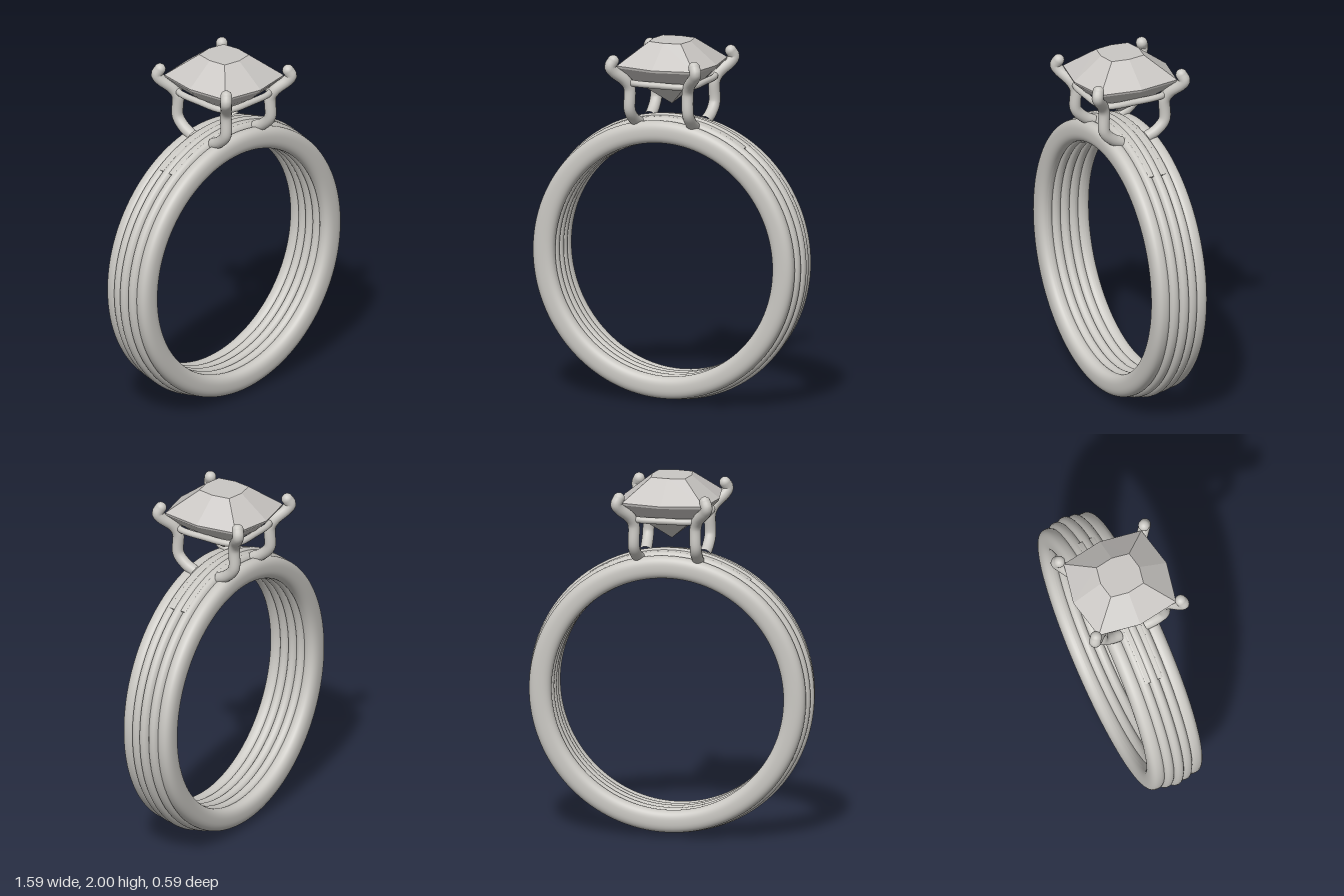
import * as THREE from 'three';

const CENTRE_Y = 0.795;

export function createModel() {
  const model = new THREE.Group();
  model.name = 'gemRing';
  const metal = new THREE.MeshStandardMaterial({ color: 0xcac8c3 });
  metal.name = 'silver metal';
  const crystal = new THREE.MeshStandardMaterial({ color: 0xcac7c4 });
  crystal.name = 'clear stone';

  const add = (parent, name, geometry, material) => {
    const mesh = new THREE.Mesh(geometry, material);
    mesh.name = name;
    parent.add(mesh);
    return mesh;
  };

  // Band: five rounded ridges side by side, each a lathed superellipse
  const band = new THREE.Group();
  band.name = 'band';
  band.position.y = CENTRE_Y;
  model.add(band);
  const ridge = (name, z, halfWidth, inner, outer, power) => {
    const profile = [];
    const bend = (v) => Math.sign(v) * Math.abs(v) ** (2 / power);
    for (let i = 0; i <= 36; i++) {
      const t = Math.PI + (i / 36) * Math.PI * 2;
      profile.push(new THREE.Vector2(
        (inner + outer) / 2 + ((outer - inner) / 2) * bend(Math.cos(t)),
        halfWidth * bend(Math.sin(t))));
    }
    const geometry = new THREE.LatheGeometry(profile, 128);
    geometry.rotateX(Math.PI / 2);
    geometry.translate(0, 0, z);
    add(band, name, geometry, metal);
  };
  ridge('centreRidge', 0, 0.036, 0.645, 0.795, 2.4);
  for (const s of [-1, 1]) {
    ridge('middleRidge', s * 0.054, 0.036, 0.647, 0.785, 2.4);
    ridge('outerRidge', s * 0.112, 0.045, 0.649, 0.772, 2.4);
  }

  // Smooth shoulder that fills the grooves under the setting
  const arc = new THREE.Shape();
  const from = Math.PI / 2 - 0.595, to = Math.PI / 2 + 0.595;
  arc.absarc(0, 0, 0.776, from, to, false);
  arc.absarc(0, 0, 0.651, to, from, true);
  arc.closePath();
  const shoulder = new THREE.ExtrudeGeometry(arc, {
    depth: 0.09, curveSegments: 40, bevelEnabled: true,
    bevelSize: 0.01, bevelThickness: 0.01, bevelSegments: 3,
  });
  shoulder.translate(0, 0, -0.045);
  add(band, 'shoulder', shoulder, metal);

  // Four bent prongs with round tips
  const setting = new THREE.Group();
  setting.name = 'setting';
  model.add(setting);
  const path = [
    [0.165, 1.545, 0.08], [0.17, 1.575, 0.135], [0.173, 1.63, 0.183],
    [0.173, 1.75, 0.185], [0.19, 1.795, 0.205], [0.24, 1.85, 0.252],
    [0.253, 1.878, 0.266], [0.24, 1.91, 0.254],
  ];
  for (const sx of [-1, 1]) for (const sz of [-1, 1]) {
    const points = path.map(([x, y, z]) => new THREE.Vector3(x * sx, y, z * sz));
    const curve = new THREE.CatmullRomCurve3(points, false, 'centripetal');
    add(setting, 'prong', new THREE.TubeGeometry(curve, 48, 0.032, 16), metal);
    add(setting, 'prongTip', new THREE.SphereGeometry(0.032, 16, 12), metal)
      .position.copy(points[points.length - 1]);
  }

  // Eight points of a cushion outline, going from +x towards +z
  const cushion = (midX, cornerX, cornerZ, midZ) => [
    [midX, 0], [cornerX, cornerZ], [0, midZ], [-cornerX, cornerZ],
    [-midX, 0], [-cornerX, -cornerZ], [0, -midZ], [cornerX, -cornerZ],
  ];

  // Rail joining the prongs below the stone
  const rail = new THREE.CatmullRomCurve3(
    cushion(0.197, 0.172, 0.183, 0.208).map(([x, z]) => new THREE.Vector3(x, 1.782, z)), true);
  add(setting, 'rail', new THREE.TubeGeometry(rail, 80, 0.018, 12, true), metal);

  // Faceted stone: outlines stacked from the point up to the flat table
  const girdle = cushion(0.265, 0.228, 0.233, 0.28);
  const table = cushion(0.11, 0.094, 0.098, 0.116);
  const layers = [
    [girdle, 0, 1.645], [girdle, 0.74, 1.8], [girdle, 0.985, 1.865],
    [girdle, 1, 1.878], [table, 1, 2], [table, 0, 2],
  ].map(([outline, k, y]) => outline.map(([x, z]) => [x * k, y, z * k]));
  const corners = [];
  for (let l = 0; l < layers.length - 1; l++) {
    for (let i = 0; i < 8; i++) {
      const j = (i + 1) % 8;
      const a = layers[l], b = layers[l + 1];
      if (l < layers.length - 2) corners.push(...a[i], ...b[i], ...b[j]);
      if (l > 0) corners.push(...a[i], ...(l < layers.length - 2 ? b[j] : b[i]), ...a[j]);
    }
  }
  const stone = new THREE.BufferGeometry();
  stone.setAttribute('position', new THREE.Float32BufferAttribute(corners, 3));
  stone.computeVertexNormals();
  add(model, 'stone', stone, crystal);

  return model;
}
